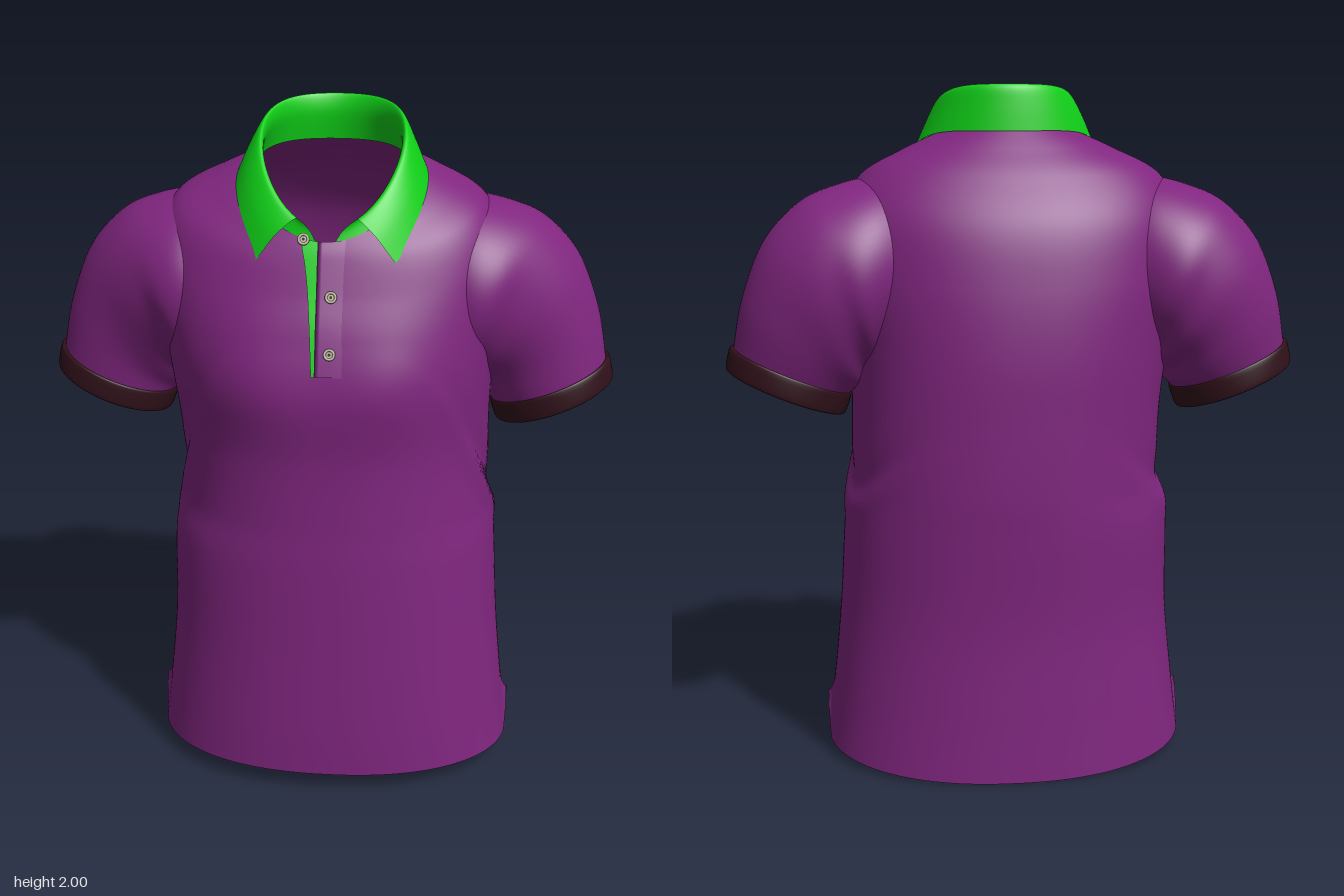
import * as THREE from 'three';
import { mergeVertices } from 'three/addons/utils/BufferGeometryUtils.js';

const fabric = (color) => new THREE.MeshStandardMaterial({ color, side: THREE.DoubleSide });
const purple = fabric(0x80267f), green = fabric(0x10d018), maroon = fabric(0x30111a), buttonGrey = fabric(0xc4bca6);

// Smooth interpolation between rows of numbers, t counted in rows
function rowAt(rows, t) {
  const n = rows.length - 1, i = Math.min(Math.floor(t), n - 1), f = t - i;
  const [p, q, r, s] = [-1, 0, 1, 2].map((k) => rows[Math.min(n, Math.max(0, i + k))]);
  return q.map((b, k) => {
    const m0 = (r[k] - p[k]) / 2, m1 = (s[k] - b) / 2, d = r[k] - b;
    return b + f * (m0 + f * (3 * d - 2 * m0 - m1 + f * (m0 + m1 - 2 * d)));
  });
}

// Surface from a function of u and v, both 0..1
function sheet(name, material, nu, nv, point) {
  const pos = [], index = [];
  for (let j = 0; j <= nv; j++) for (let i = 0; i <= nu; i++) pos.push(...point(i / nu, j / nv));
  for (let j = 0; j < nv; j++) for (let i = 0; i < nu; i++) {
    const a = j * (nu + 1) + i, b = a + 1, c = b + nu + 1, d = a + nu + 1;
    index.push(a, b, c, a, c, d);
  }
  let geo = new THREE.BufferGeometry();
  geo.setAttribute('position', new THREE.Float32BufferAttribute(pos, 3));
  geo.setIndex(index);
  geo = mergeVertices(geo, 1e-5);
  geo.computeVertexNormals();
  const mesh = new THREE.Mesh(geo, material);
  mesh.name = name;
  return mesh;
}

// Tilted oval ring: row = front y, front z, back y, back z, side y, half width, centre x
function ring([yf, zf, yb, zb, ys, a, x], angle, p) {
  const s = Math.sin(angle), c = Math.cos(angle), mid = (yf + yb) / 2;
  const bend = (v) => Math.sign(v) * Math.abs(v) ** p;
  return [
    x + a * bend(s),
    mid + c * (yf - yb) / 2 + (ys - mid) * (1 - c * c),
    (zf + zb) / 2 + bend(c) * (zf - zb) / 2,
  ];
}

const torsoRows = [
  [0.06, 0.41, 0.0, -0.38, 0.04, 0.545, 0.02],
  [0.2, 0.41, 0.2, -0.375, 0.2, 0.525, 0.02],
  [0.45, 0.405, 0.45, -0.375, 0.45, 0.5, 0.02],
  [0.72, 0.4, 0.72, -0.395, 0.72, 0.488, 0.015],
  [0.86, 0.395, 0.86, -0.405, 0.86, 0.465, 0.02],
  [1.05, 0.395, 1.05, -0.41, 1.05, 0.46, 0.015],
  [1.25, 0.41, 1.25, -0.41, 1.25, 0.475, 0.005],
  [1.42, 0.375, 1.44, -0.39, 1.44, 0.5, 0],
  [1.53, 0.335, 1.61, -0.35, 1.62, 0.5, 0],
  [1.6, 0.31, 1.74, -0.275, 1.735, 0.445, 0],
  [1.64, 0.295, 1.82, -0.21, 1.795, 0.33, 0.005],
  [1.67, 0.28, 1.88, -0.155, 1.83, 0.23, 0.008],
];
const top = torsoRows.length - 1;

function torsoPoint(angle, t) {
  const row = rowAt(torsoRows, t);
  const q = ring(row, angle, 0.9 + 0.1 * Math.max(0, (t - 7) / (top - 7)));
  // Side slits in the hem
  const off = Math.abs(q[2] - (row[1] + row[3]) / 2);
  if (t < 1) q[1] += (1 - t) * Math.max(0, 0.13 * (1 - off / 0.075));
  // Draped fold hanging in a curve under each arm
  const d = (q[1] - 0.82 - 2.6 * (q[2] + 0.1) ** 2) / 0.06;
  q[0] *= 1 - 0.045 * Math.sin(angle) ** 2 * d * Math.exp(-d * d);
  // Chest fullness
  if (q[2] > 0) q[2] += 0.014 * Math.exp(-(((Math.abs(q[0]) - 0.2) / 0.13) ** 2) - ((q[1] - 1.3) / 0.14) ** 2);
  return q;
}

// Point on the chest at a given x, lifted off the cloth
function chestPoint(x, t, lift) {
  const row = rowAt(torsoRows, t);
  const q = torsoPoint(Math.asin((x - row[6]) / row[5]), t);
  return [x, q[1] + lift * 0.3, q[2] + lift];
}

// Sleeve section: outer x, outer y, inner x, inner y, half depth, centre z
const sleeveRows = [
  [0.3, 1.735, 0.27, 1.3, 0.21, -0.03],
  [0.41, 1.74, 0.34, 1.25, 0.265, -0.035],
  [0.52, 1.715, 0.385, 1.22, 0.277, -0.05],
  [0.62, 1.668, 0.41, 1.195, 0.255, -0.068],
  [0.72, 1.56, 0.435, 1.17, 0.222, -0.08],
  [0.785, 1.4, 0.46, 1.14, 0.193, -0.08],
  [0.815, 1.25, 0.485, 1.11, 0.168, -0.07],
];
const cuffRows = [
  [0.813, 1.255, 0.483, 1.12, 0.166, -0.07],
  [0.826, 1.253, 0.476, 1.112, 0.174, -0.07],
  [0.838, 1.2, 0.494, 1.06, 0.175, -0.07],
  [0.83, 1.197, 0.502, 1.064, 0.167, -0.07],
  [0.808, 1.25, 0.49, 1.12, 0.162, -0.07],
];
function sleevePoint(rows, side, u, v, fold) {
  const [ox, oy, ix, iy, depth, z] = rowAt(rows, v * (rows.length - 1));
  const angle = u * 2 * Math.PI, c = Math.cos(angle), s = Math.sin(angle);
  const k = 1 + fold * Math.sin(v * Math.PI) * (1 - c) * Math.sin(v * 17 + angle * 2);
  return [
    side * ((ox + ix) / 2 + k * c * (ox - ix) / 2),
    (oy + iy) / 2 + k * c * (oy - iy) / 2,
    z + k * s * side * depth,
  ];
}

// Collar rows from the outer edge over the fold to the neck seam; last value is the front gap
const collarRows = [
  [1.52, 0.365, 1.87, -0.175, 1.79, 0.272, 0.01, 0.78],
  [1.63, 0.335, 1.94, -0.168, 1.86, 0.242, 0.01, 0.62],
  [1.7, 0.3, 1.99, -0.16, 1.918, 0.212, 0.012, 0.45],
  [1.705, 0.28, 1.998, -0.145, 1.922, 0.197, 0.012, 0.38],
  [1.69, 0.275, 1.95, -0.135, 1.885, 0.195, 0.01, 0.22],
  [1.66, 0.28, 1.87, -0.145, 1.82, 0.22, 0.008, 0.1],
];

export function createModel() {
  const shirt = new THREE.Group();
  shirt.name = 'poloShirt';

  shirt.add(sheet('torso', purple, 160, 120, (u, v) => torsoPoint(u * 2 * Math.PI, v * top)));

  for (const side of [1, -1]) {
    const label = side > 0 ? 'left' : 'right';
    shirt.add(sheet(label + 'Sleeve', purple, 72, 48, (u, v) => sleevePoint(sleeveRows, side, u, v, 0.012)));
    shirt.add(sheet(label + 'Cuff', maroon, 72, 16, (u, v) => sleevePoint(cuffRows, side, u, v, 0)));
  }

  shirt.add(sheet('collar', green, 96, 30, (u, v) => {
    const row = rowAt(collarRows, v * (collarRows.length - 1)), gap = row[7];
    return ring(row, gap + u * 2 * (Math.PI - gap), 1);
  }));

  // Placket: green inner facing as a narrow wedge, purple flap fading into the chest
  const tAt = (v) => 6.4 + v * (top - 6.4);
  shirt.add(sheet('placketFacing', green, 6, 24, (u, v) =>
    chestPoint(-0.02 + u * 0.01 - (1 - u) * 0.04 * v, tAt(v), 0.005)));
  shirt.add(sheet('placketFlap', purple, 12, 24, (u, v) =>
    chestPoint(-0.01 + u * 0.075, tAt(v), 0.009 * (1 - u) * Math.min(1, u * 12))));

  // Buttons: disc with raised rim and a sunken centre
  [[0.03, 6.76], [0.03, 8], [-0.05, 10.9]].forEach(([x, t]) => {
    const button = new THREE.Group();
    button.name = 'button';
    const disc = new THREE.Mesh(new THREE.CylinderGeometry(0.015, 0.015, 0.008, 20), buttonGrey);
    disc.name = 'buttonDisc';
    const rim = new THREE.Mesh(new THREE.TorusGeometry(0.013, 0.004, 8, 20), buttonGrey);
    rim.name = 'buttonRim';
    rim.rotation.x = Math.PI / 2;
    rim.position.y = 0.004;
    const eye = new THREE.Mesh(new THREE.CylinderGeometry(0.004, 0.004, 0.002, 10), maroon);
    eye.name = 'buttonEye';
    eye.position.y = 0.005;
    button.add(disc, rim, eye);
    button.position.set(...chestPoint(x, t, 0.01));
    button.rotation.x = Math.PI / 2 - 0.3;
    shirt.add(button);
  });

  // The shirt is turned slightly, its left shoulder back
  shirt.rotation.y = 0.19;
  const model = new THREE.Group();
  model.name = 'model';
  model.add(shirt);
  return model;
}
